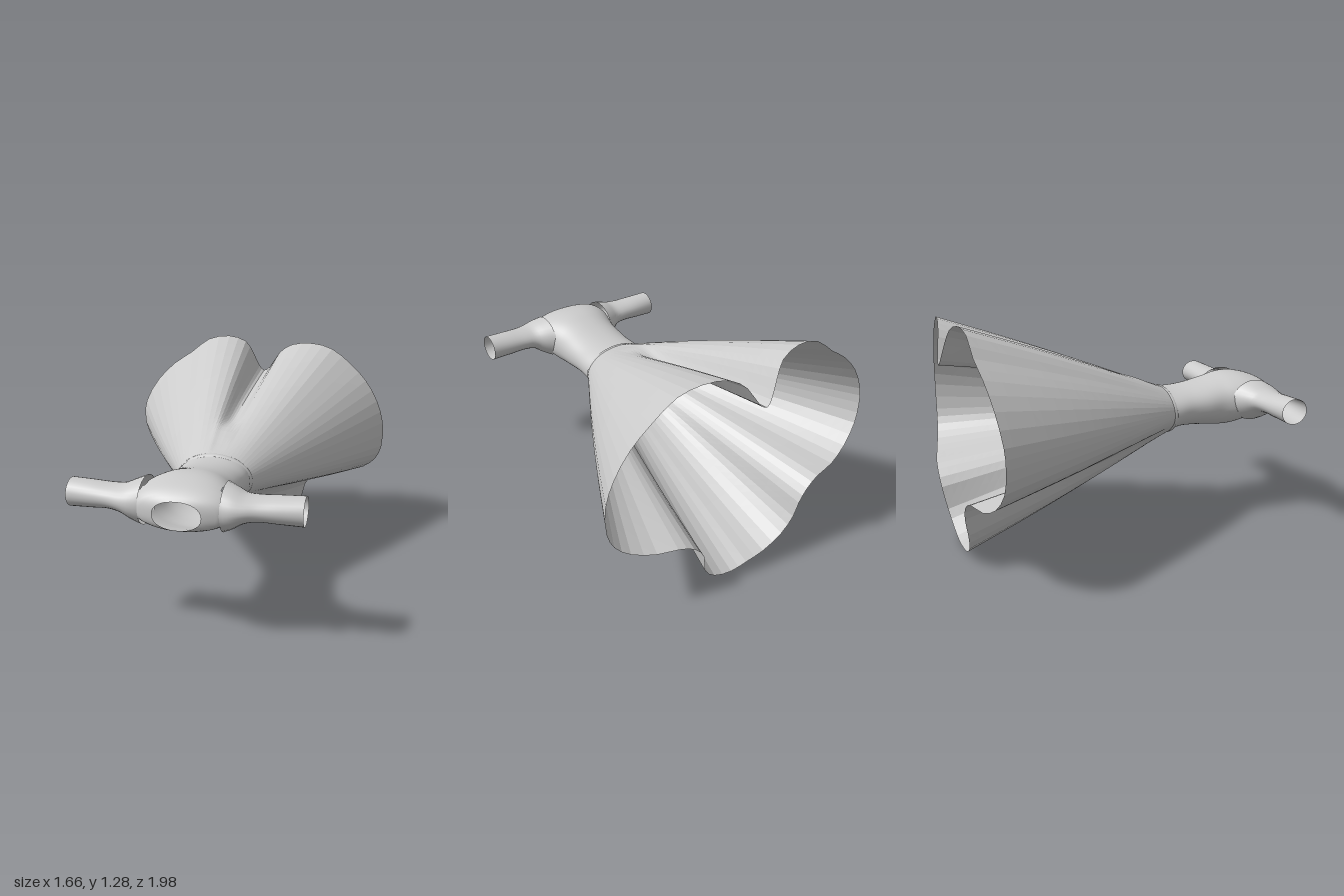
import * as THREE from 'three';

const material = (flatShading) =>
  new THREE.MeshStandardMaterial({ color: 0xcccccc, side: THREE.DoubleSide, flatShading });

// Skin a list of closed rings; cells for which skip(centre) is true are left open.
function loft(name, rings, flat = false, skip = () => false) {
  const n = rings[0].length, index = [];
  for (let i = 0; i < rings.length - 1; i++) {
    for (let j = 0; j < n; j++) {
      const k = (j + 1) % n;
      const centre = rings[i][j].clone().add(rings[i + 1][k]).multiplyScalar(0.5);
      if (skip(centre)) continue;
      const a = i * n + j, b = i * n + k, c = b + n, d = a + n;
      index.push(a, b, c, a, c, d);
    }
  }
  const geometry = new THREE.BufferGeometry().setFromPoints(rings.flat());
  geometry.setIndex(index);
  geometry.computeVertexNormals();
  const mesh = new THREE.Mesh(geometry, material(flat));
  mesh.name = name;
  return mesh;
}

// Smoothly resample rows of [position, ...values] along their first entry.
function resample(rows, count) {
  const size = rows[0].length - 1;
  const spline = new THREE.CubicInterpolant(
    rows.map((r) => r[0]), rows.flatMap((r) => r.slice(1)), size, new Float32Array(size));
  const start = rows[0][0], end = rows[rows.length - 1][0];
  return Array.from({ length: count + 1 }, (_, i) => {
    const t = start + (end - start) * i / count;
    return [t, ...spline.evaluate(t)];
  });
}

const circle = (n, f) => Array.from({ length: n }, (_, j) => f(j / n * Math.PI * 2));

// Bodice: waist to neckline, with an armhole on each side.
function makeBodice() {
  // z, half width, bottom y, top y
  const rows = [
    [0.31, 0.2, 0.56, 0.812], [0.36, 0.2, 0.578, 0.81], [0.45, 0.195, 0.58, 0.815],
    [0.55, 0.2, 0.572, 0.83], [0.64, 0.205, 0.562, 0.85], [0.72, 0.225, 0.565, 0.867],
    [0.79, 0.245, 0.585, 0.87], [0.86, 0.255, 0.608, 0.86], [0.92, 0.25, 0.625, 0.842],
    [0.955, 0.22, 0.635, 0.822], [0.98, 0.165, 0.645, 0.8], [0.987, 0.12, 0.65, 0.79],
  ];
  const round = (v) => Math.sign(v) * Math.abs(v) ** 0.9;
  const rings = resample(rows, 48).map(([z, w, y0, y1]) => circle(64, (a) =>
    new THREE.Vector3(w * round(Math.cos(a)), (y0 + y1) / 2 + (y1 - y0) / 2 * round(Math.sin(a)), z)));
  const armhole = (p) => Math.abs(p.x) > 0.12
    && Math.hypot((p.z - 0.84) / 0.1, (p.y - 0.745) / 0.08) < 1;
  return loft('bodice', rings, false, armhole);
}

// Sleeve: an open tube that widens into the shoulder.
function makeSleeve(name, side) {
  // x, back z, front z, bottom y, top y
  const rows = [
    [0.2, 0.68, 0.968, 0.61, 0.852], [0.25, 0.712, 0.97, 0.638, 0.835],
    [0.3, 0.745, 0.962, 0.672, 0.815], [0.36, 0.755, 0.947, 0.684, 0.81],
    [0.47, 0.76, 0.935, 0.68, 0.815], [0.585, 0.765, 0.925, 0.675, 0.82],
  ];
  const rings = resample(rows, 20).map(([x, z0, z1, y0, y1]) => circle(28, (a) =>
    new THREE.Vector3(x, (y0 + y1) / 2 - (y1 - y0) / 2 * Math.sin(a),
      (z0 + z1) / 2 + (z1 - z0) / 2 * Math.cos(a))));
  const sleeve = loft(name, rings);
  sleeve.scale.x = side;
  return sleeve;
}

// Skirt: straight pleats running from the oval waist to a wavy hem.
function makeSkirt() {
  const hem = [
    [0, 1.05], [0.04, 1.075], [0.11, 1.18], [0.2, 1.24], [0.34, 1.255], [0.47, 1.225],
    [0.6, 1.13], [0.7, 1.03], [0.78, 0.9], [0.825, 0.76], [0.825, 0.6], [0.79, 0.51],
    [0.71, 0.44], [0.58, 0.395], [0.47, 0.385], [0.38, 0.35], [0.31, 0.26], [0.28, 0.13],
    [0.2, 0.04], [0.08, 0.002], [-0.02, 0.02], [-0.14, 0.04], [-0.26, 0.11], [-0.32, 0.21],
    [-0.335, 0.31], [-0.38, 0.39], [-0.46, 0.435], [-0.6, 0.44], [-0.72, 0.495],
    [-0.81, 0.6], [-0.83, 0.72], [-0.815, 0.82], [-0.73, 0.97], [-0.61, 1.09],
    [-0.49, 1.17], [-0.37, 1.26], [-0.23, 1.285], [-0.12, 1.25], [-0.07, 1.17], [-0.03, 1.08],
  ];
  const cy = 0.685, steps = 24;
  const curve = new THREE.CatmullRomCurve3(hem.map(([x, y]) => new THREE.Vector3(x, y, 0)), true);
  const edge = Array.from({ length: 80 }, (_, j) => curve.getPoint(j / 80));
  const rings = Array.from({ length: steps + 1 }, (_, i) => {
    const t = i / steps;
    return edge.map((p) => {
      const a = Math.atan2(p.y - cy, p.x);
      const r = Math.hypot(p.x, p.y - cy);
      // the flare swells a little, and the centre fold starts below the waist
      const fold = Math.exp(-((p.x / 0.1) ** 2)) * (p.y > cy ? 1 : 0);
      const swell = 0.015 * Math.sin(Math.PI * t)
        + 0.035 * fold * Math.exp(-(((t - 0.18) / 0.1) ** 2));
      return new THREE.Vector3(
        THREE.MathUtils.lerp(0.203 * Math.cos(a), p.x, t) + swell * Math.cos(a),
        THREE.MathUtils.lerp(cy + 0.133 * Math.sin(a), p.y, t) + swell * Math.sin(a),
        THREE.MathUtils.lerp(0.31, -1.02 + 0.215 * r * r, t));
    });
  });
  return loft('skirt', rings, true);
}

// Narrow raised seam where bodice and skirt meet.
function makeWaistSeam() {
  const rows = [[0.285, 0.2], [0.297, 0.21], [0.312, 0.208], [0.322, 0.2]];
  const rings = rows.map(([z, r]) => circle(64, (a) =>
    new THREE.Vector3(r * Math.cos(a), 0.685 + (r - 0.07) * Math.sin(a), z)));
  return loft('waistSeam', rings);
}

export function createModel() {
  const dress = new THREE.Group();
  dress.name = 'dress';
  dress.add(makeBodice(), makeSleeve('leftSleeve', 1), makeSleeve('rightSleeve', -1),
    makeWaistSeam(), makeSkirt());
  return dress;
}
